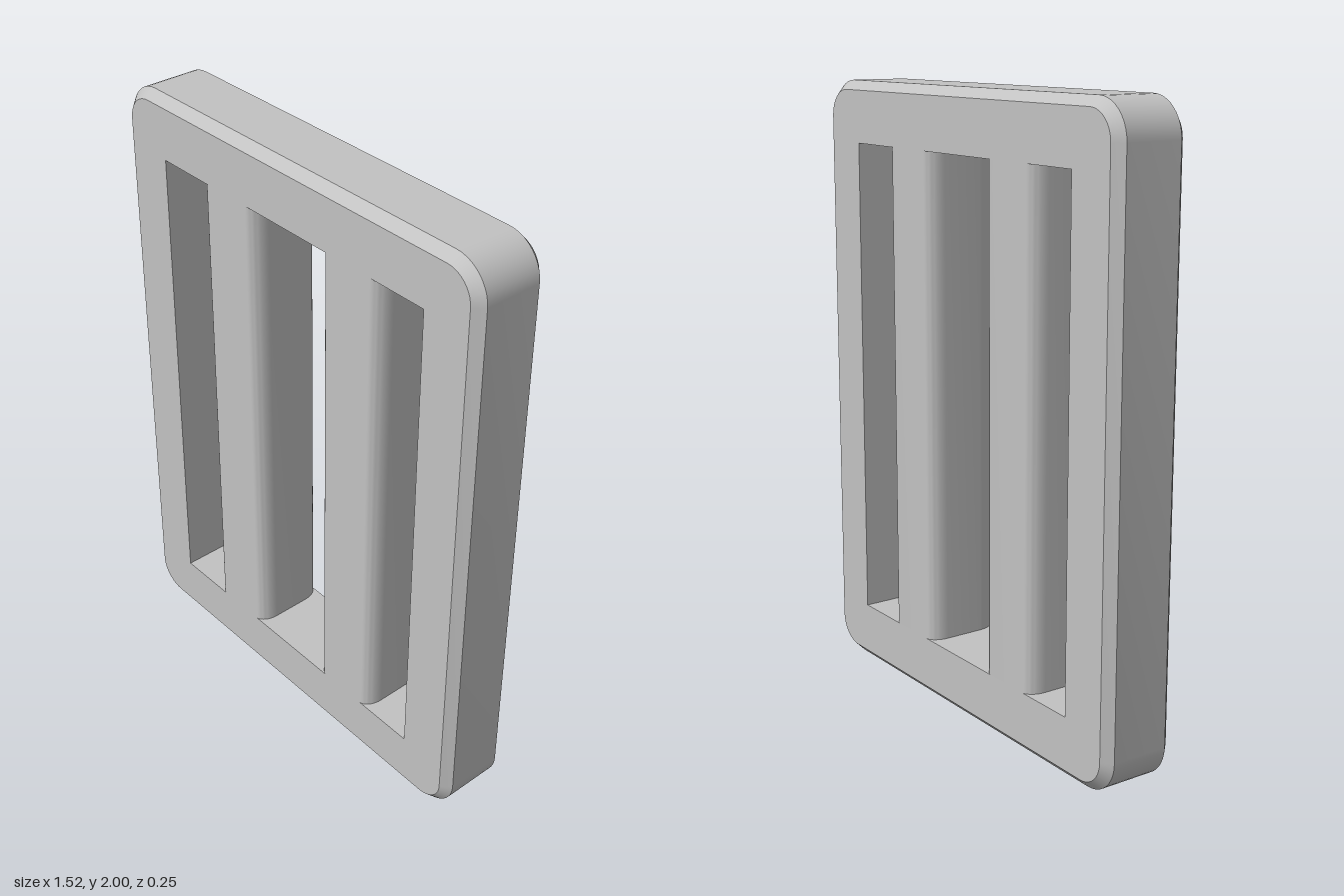
import * as THREE from 'three';
import { mergeGeometries, toCreasedNormals } from 'three/addons/utils/BufferGeometryUtils.js';

const CREASE = 0.5;

// Counter-clockwise rectangle with elliptical corners (rx, ry), centred on the origin
function roundedRect(hw, hh, rx, ry, seg = 10) {
  const pts = [];
  [[1, 1], [-1, 1], [-1, -1], [1, -1]].forEach(([sx, sy], q) => {
    for (let i = 0; i <= seg; i++) {
      const a = (q + i / seg) * Math.PI / 2;
      pts.push(new THREE.Vector2(
        sx * (hw - rx) + rx * Math.cos(a),
        sy * (hh - ry) + ry * Math.sin(a)));
    }
  });
  return pts;
}

// Strip of quads joining two closed loops lying at depths z0 and z1
function band(a, z0, b, z1) {
  const pos = [];
  a.forEach((p, i) => {
    const j = (i + 1) % a.length;
    const p1 = a[j], q = b[i], q1 = b[j];
    pos.push(p.x, p.y, z0, p1.x, p1.y, z0, q1.x, q1.y, z1);
    pos.push(p.x, p.y, z0, q1.x, q1.y, z1, q.x, q.y, z1);
  });
  const g = new THREE.BufferGeometry();
  g.setAttribute('position', new THREE.Float32BufferAttribute(pos, 3));
  return g;
}

// Chamfered outer rim, plain rectangular opening
function frameGeometry() {
  const half = 0.125, c = 0.03;
  const outer = roundedRect(0.76, 1, 0.12, 0.12);
  const inset = roundedRect(0.76 - c, 1 - c, 0.12 - c, 0.12 - c);
  const hole = [[0.565, 0.8], [-0.565, 0.8], [-0.565, -0.8], [0.565, -0.8]]
    .map(([x, y]) => new THREE.Vector2(x, y));
  const face = new THREE.Shape(inset);
  face.holes.push(new THREE.Path(hole.slice().reverse()));
  const caps = [0, Math.PI].map((turn) => {
    const g = new THREE.ShapeGeometry(face).translate(0, 0, half).rotateY(turn).toNonIndexed();
    g.deleteAttribute('uv');
    g.deleteAttribute('normal');
    return g;
  });
  const geo = mergeGeometries([
    band(inset, -half, outer, -half + c),
    band(outer, -half + c, outer, half - c),
    band(outer, half - c, inset, half),
    band(hole, half, hole, -half),
    ...caps,
  ]);
  geo.computeVertexNormals();
  return toCreasedNormals(geo, CREASE);
}

// Upright bar with softened long edges, flush with the frame faces
function barGeometry() {
  const profile = new THREE.Shape(roundedRect(0.122, 0.125, 0.04, 0.06));
  const geo = new THREE.ExtrudeGeometry(profile, { depth: 1.6, bevelEnabled: false });
  geo.rotateX(-Math.PI / 2);
  return toCreasedNormals(geo, CREASE);
}

export function createModel() {
  const grey = new THREE.MeshStandardMaterial({ color: 0xc2c2c2 });
  grey.name = 'light grey';
  const model = new THREE.Group();
  model.name = 'strapSlider';

  const frame = new THREE.Mesh(frameGeometry(), grey);
  frame.name = 'frame';
  frame.position.y = 1;
  model.add(frame);

  const barGeo = barGeometry();
  for (const side of [-1, 1]) {
    const bar = new THREE.Mesh(barGeo, grey);
    bar.name = side > 0 ? 'leftBar' : 'rightBar';
    bar.position.set(side * 0.268, 0.2, 0);
    model.add(bar);
  }
  return model;
}
